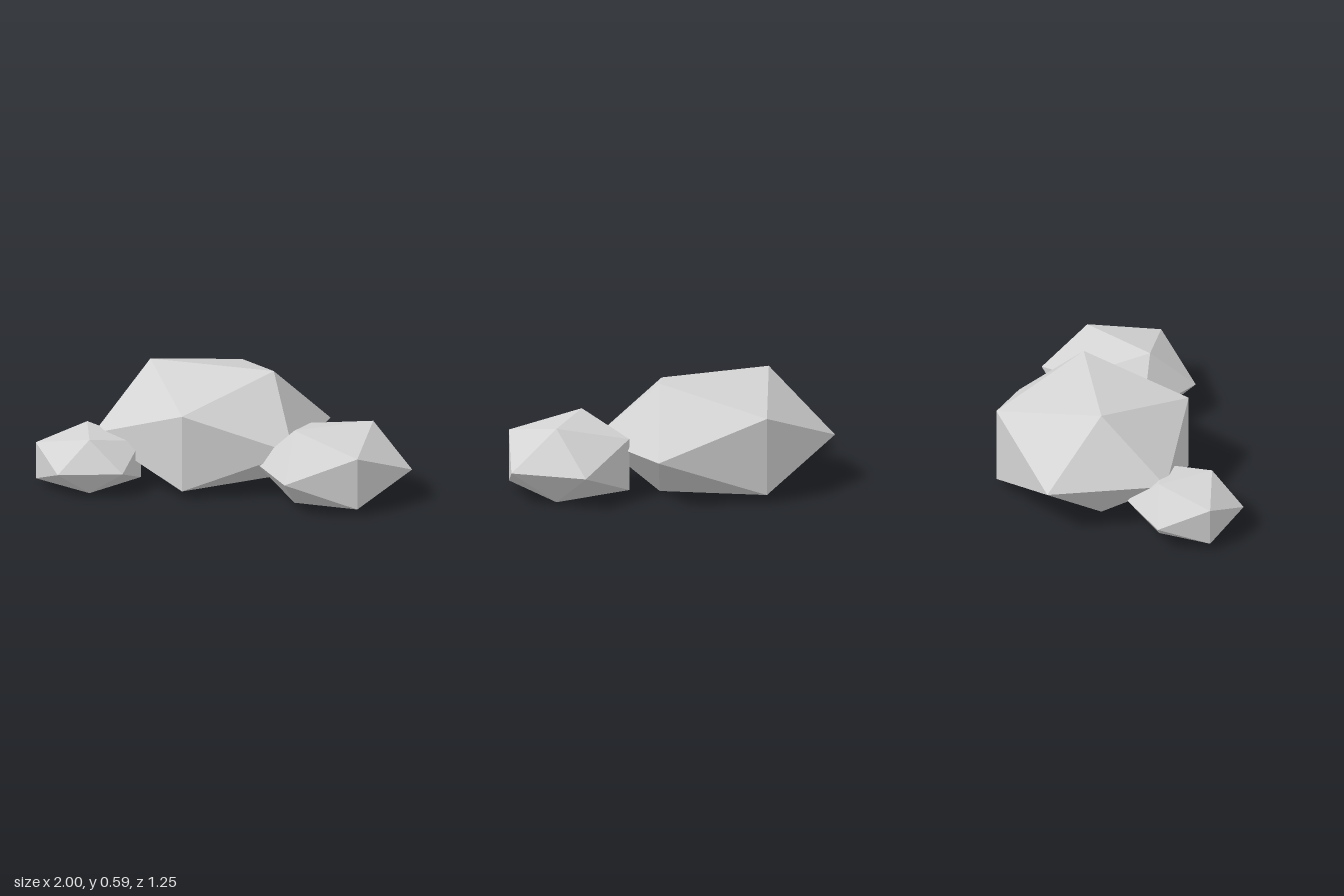
import * as THREE from 'three';

const stone = new THREE.MeshStandardMaterial({ color: 0xd4d4d4, flatShading: true });
stone.name = 'pale grey stone';

// A twenty-sided boulder: stretched, turned, then flattened where it meets the ground
function makeRock(name, scale, turn, centre) {
  const geometry = new THREE.IcosahedronGeometry(1, 0);
  geometry.scale(...scale).rotateY(turn).translate(...centre);
  const position = geometry.attributes.position;
  for (let i = 0; i < position.count; i++) {
    position.setY(i, Math.max(0, position.getY(i)));
  }
  geometry.computeVertexNormals();
  const rock = new THREE.Mesh(geometry, stone);
  rock.name = name;
  return rock;
}

export function createModel() {
  const group = new THREE.Group();
  group.name = 'rockCluster';
  group.add(
    makeRock('largeRock', [0.66, 0.4, 0.61], 0, [-0.18, 0.253, -0.103]),
    makeRock('mediumRock', [0.432, 0.268, 0.396], 0.695, [0.585, 0.178, 0.143]),
    makeRock('smallRock', [0.305, 0.193, 0.33], -1.22, [-0.737, 0.136, 0.323]),
  );
  return group;
}
